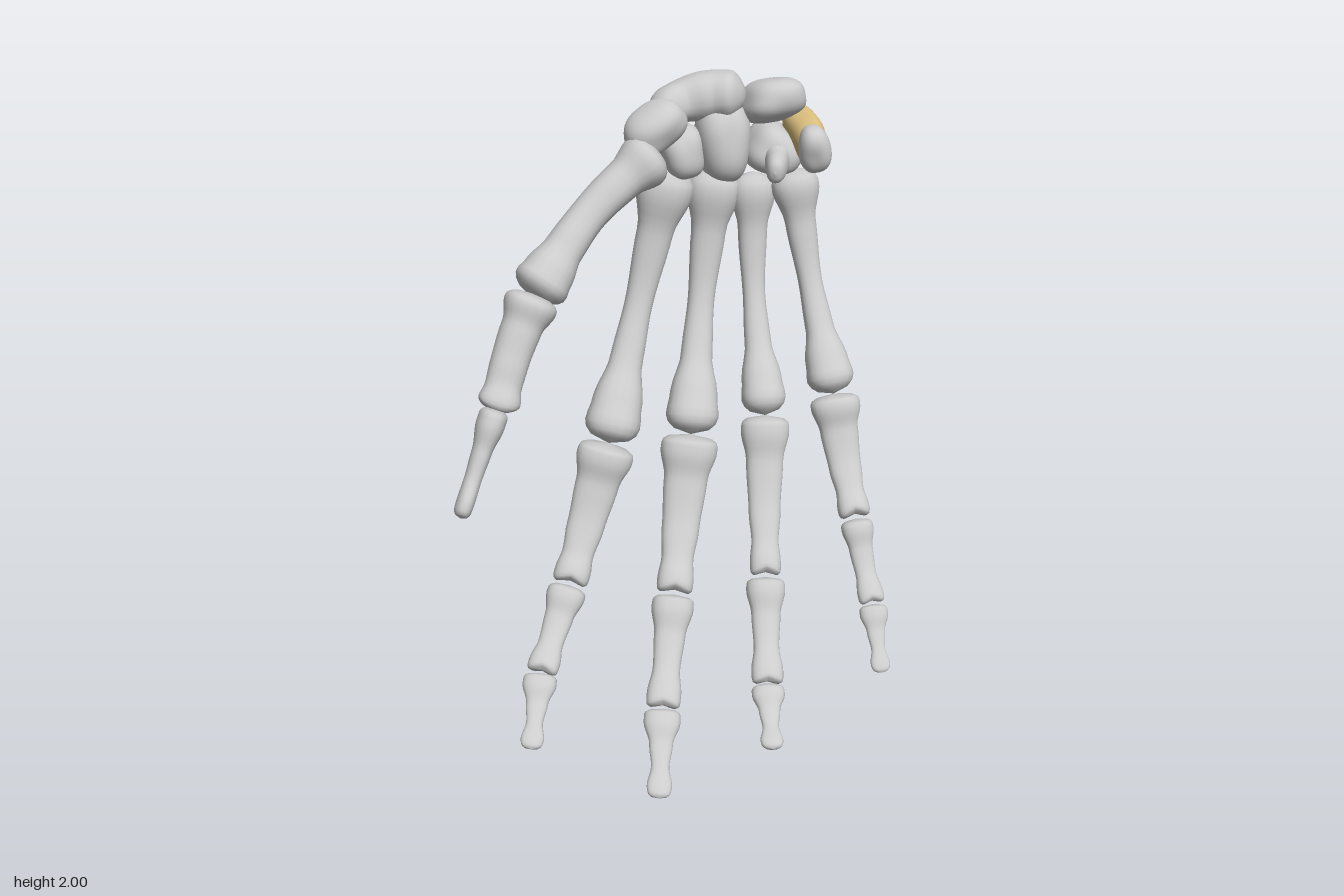
import * as THREE from 'three';
import { mergeVertices } from 'three/addons/utils/BufferGeometryUtils.js';

const V = (p) => new THREE.Vector3(...p);
const grey = new THREE.MeshStandardMaterial({ color: 0xcccccc });
const ochre = new THREE.MeshStandardMaterial({ color: 0xd8bc7c });
const smooth = THREE.MathUtils.smoothstep;

// Profiles: [t along the bone, half width, half depth]
const METACARPAL = [[0, .09, .09], [.08, .09, .088], [.23, .058, .056], [.5, .045, .048],
  [.7, .053, .054], [.85, .08, .08], [.93, .089, .093], [1, .08, .088]];
const PROXIMAL = [[0, .088, .076], [.1, .091, .075], [.28, .07, .05], [.6, .06, .044],
  [.78, .051, .041], [.9, .058, .052], [1, .057, .052]];
const MIDDLE = [[0, .06, .052], [.12, .062, .053], [.35, .046, .036], [.65, .04, .031],
  [.87, .05, .038], [1, .048, .036]];
const DISTAL = [[0, .052, .038], [.15, .053, .038], [.4, .034, .024], [.65, .026, .02],
  [.86, .036, .021], [1, .03, .018]];

function sampleProfile(profile, t) {
  let i = 0;
  while (i < profile.length - 2 && t > profile[i + 1][0]) i++;
  const a = profile[i], b = profile[i + 1];
  const k = smooth(t, a[0], b[0]);
  return [a[1] + (b[1] - a[1]) * k, a[2] + (b[2] - a[2]) * k];
}

// Domed tube swept along a curve; condyle splits the far end into two knuckles
function bone(name, points, profile, { scale = 1, cap = .05, condyle = 0, side = [1, 0, 0], flat = 1 } = {}) {
  const RINGS = 28, SIDES = 20;
  const curve = new THREE.CatmullRomCurve3(points.map(V));
  const length = curve.getLength();
  const pos = [], index = [];
  for (let i = 0; i <= RINGS; i++) {
    const u = i / RINGS;
    const t = .5 * u + .5 * (.5 - .5 * Math.cos(Math.PI * u));
    const c = curve.getPointAt(t), T = curve.getTangentAt(t);
    const S = V(side).addScaledVector(T, -V(side).dot(T)).normalize();
    const N = T.clone().cross(S);
    const d = Math.min(t, 1 - t) * length;
    const dome = Math.pow(Math.max(0, 1 - Math.pow(1 - Math.min(d / cap, 1), 2.4)), .5);
    const [w, h] = sampleProfile(profile, t);
    for (let j = 0; j < SIDES; j++) {
      const a = j / SIDES * Math.PI * 2, cs = Math.cos(a), sn = Math.sin(a);
      const x = Math.sign(cs) * Math.pow(Math.abs(cs), .88) * w * dome * scale;
      const y = Math.sign(sn) * Math.pow(Math.abs(sn), .88) * h * dome * scale * (sn > 0 ? flat : 1);
      const push = condyle * (Math.abs(cs) * dome - .6) * smooth(t, .85, 1);
      const p = c.clone().addScaledVector(S, x).addScaledVector(N, y).addScaledVector(T, push);
      pos.push(p.x, p.y, p.z);
      if (i < RINGS) {
        const k = i * SIDES + j, n = i * SIDES + (j + 1) % SIDES;
        index.push(k, n, k + SIDES, n, n + SIDES, k + SIDES);
      }
    }
  }
  const g = new THREE.BufferGeometry();
  g.setAttribute('position', new THREE.Float32BufferAttribute(pos, 3));
  g.setIndex(index);
  g.computeVertexNormals();
  const mesh = new THREE.Mesh(g, grey);
  mesh.name = name;
  return mesh;
}

// Rounded, slightly lumpy wrist bone
function pebble(name, centre, size, rot = [0, 0, 0], seed = 1, material = grey) {
  let g = new THREE.IcosahedronGeometry(1, 7);
  g.deleteAttribute('uv');
  g.deleteAttribute('normal');
  g = mergeVertices(g, 1e-4);
  const p = g.attributes.position, v = new THREE.Vector3();
  for (let i = 0; i < p.count; i++) {
    v.fromBufferAttribute(p, i);
    const box = Math.pow(Math.abs(v.x) ** 2.6 + Math.abs(v.y) ** 2.6 + Math.abs(v.z) ** 2.6, -1 / 2.6);
    const lump = 1 + .07 * Math.sin(2.6 * v.x + seed * 2.1) * Math.cos(2.9 * v.y + seed)
      + .05 * Math.sin(3.1 * v.z + seed * 1.7);
    v.multiplyScalar(box * lump);
    p.setXYZ(i, v.x * size[0], v.y * size[1], v.z * size[2]);
  }
  g.computeVertexNormals();
  const mesh = new THREE.Mesh(g, material);
  mesh.name = name;
  mesh.position.set(...centre);
  mesh.rotation.set(...rot);
  return mesh;
}

// Metacarpal and three phalanges; joints run base, knuckle, middle, end, tip
function finger(name, joints, bow, scales) {
  const g = new THREE.Group();
  g.name = name;
  const [a, b, c, d, e] = joints;
  const bend = (p, q, x, z, y = 0) => [p, [(p[0] + q[0]) / 2 + x, (p[1] + q[1]) / 2 + y, (p[2] + q[2]) / 2 + z], q];
  g.add(
    bone(name + 'Metacarpal', bend(a, b, bow[0], bow[1]), METACARPAL, { scale: scales[0], cap: .06, flat: .92 }),
    bone(name + 'ProximalPhalanx', bend(b, c, 0, -.022, -.015), PROXIMAL, { scale: scales[1], cap: .03, condyle: .025, flat: .85 }),
    bone(name + 'MiddlePhalanx', bend(c, d, 0, -.012, -.01), MIDDLE, { scale: scales[2], cap: .022, condyle: .018, flat: .85 }),
    bone(name + 'DistalPhalanx', bend(d, e, 0, -.005, -.005), DISTAL, { scale: scales[3], cap: .018, flat: .8 }));
  return g;
}

export function createModel() {
  const hand = new THREE.Group();
  hand.name = 'handSkeleton';

  // Four fingers
  hand.add(
    finger('indexFinger', [[.02, 1.7, -.425], [-.195, .88, -.16], [-.335, .47, .025], [-.43, .275, .225], [-.465, .125, .41]],
      [.005, -.065], [1, 1, 1, 1]),
    finger('middleFinger', [[.165, 1.69, -.44], [.068, .9, -.165], [-.003, .455, .08], [-.055, .19, .32], [-.08, .008, .525]],
      [0, -.065], [.95, 1, 1.08, 1.08]),
    finger('ringFinger', [[.28, 1.68, -.435], [.305, .962, -.16], [.287, .515, .092], [.272, .265, .32], [.267, .16, .505]],
      [-.01, -.06], [.8, .85, 1, .97]),
    finger('littleFinger', [[.4, 1.7, -.4], [.518, 1.04, -.14], [.572, .695, .055], [.61, .475, .21], [.622, .31, .345]],
      [-.005, -.05], [.84, .87, .82, .84]));

  // Thumb: only two phalanges, turned sideways
  const thumb = new THREE.Group();
  thumb.name = 'thumb';
  const side = [-.1, -.35, -.9];
  thumb.add(
    bone('thumbMetacarpal', [[-.03, 1.785, -.315], [-.23, 1.635, -.21], [-.415, 1.415, -.075]],
      METACARPAL.map(([t, w, h]) => [t, w * .75 + .027, h * .7 + .023]), { cap: .06, side }),
    bone('thumbProximalPhalanx', [[-.405, 1.425, -.075], [-.475, 1.275, 0], [-.53, 1.115, .09]],
      PROXIMAL.map(([t, w, h]) => [t, w * .92, h * .8 + .024]), { cap: .035, condyle: .02, side, flat: .95 }),
    bone('thumbDistalPhalanx', [[-.53, 1.13, .085], [-.588, .985, .155], [-.645, .845, .237]],
      DISTAL.map(([t, w, h]) => [t, w * 1.05 + .012, h + .008]), { cap: .025, side, flat: .9 }));
  hand.add(thumb);

  // Wrist bones
  const wrist = new THREE.Group();
  wrist.name = 'wrist';
  wrist.add(
    bone('scaphoid', [[-.02, 1.89, -.335], [.04, 1.905, -.415], [.14, 1.92, -.445], [.255, 1.92, -.43]],
      [[0, .045, .045], [.25, .066, .062], [.6, .09, .075], [.85, .1, .075], [1, .08, .055]],
      { cap: .06, side: [.1, .2, 1] }),
    pebble('lunate', [.34, 1.905, -.43], [.1, .068, .095], [-.3, .2, .12], 2),
    pebble('triquetrum', [.435, 1.805, -.395], [.052, .078, .092], [.35, .3, .1], 3, ochre),
    pebble('pisiform', [.443, 1.8, -.258], [.046, .068, .058], [.2, 0, .1], 4),
    pebble('capitate', [.185, 1.785, -.42], [.08, .125, .09], [0, .1, 0], 5),
    pebble('hamate', [.34, 1.75, -.435], [.09, .08, .1], [0, .1, -.5], 6),
    bone('hamateHook', [[.35, 1.74, -.4], [.34, 1.735, -.32], [.325, 1.725, -.245]],
      [[0, .05, .06], [.6, .034, .045], [1, .025, .038]], { cap: .03 }),
    pebble('trapezoid', [.055, 1.755, -.425], [.066, .085, .084], [0, .2, .2], 7),
    pebble('trapezium', [-.035, 1.85, -.335], [.098, .066, .078], [.2, .4, .45], 8));
  hand.add(wrist);
  return hand;
}
